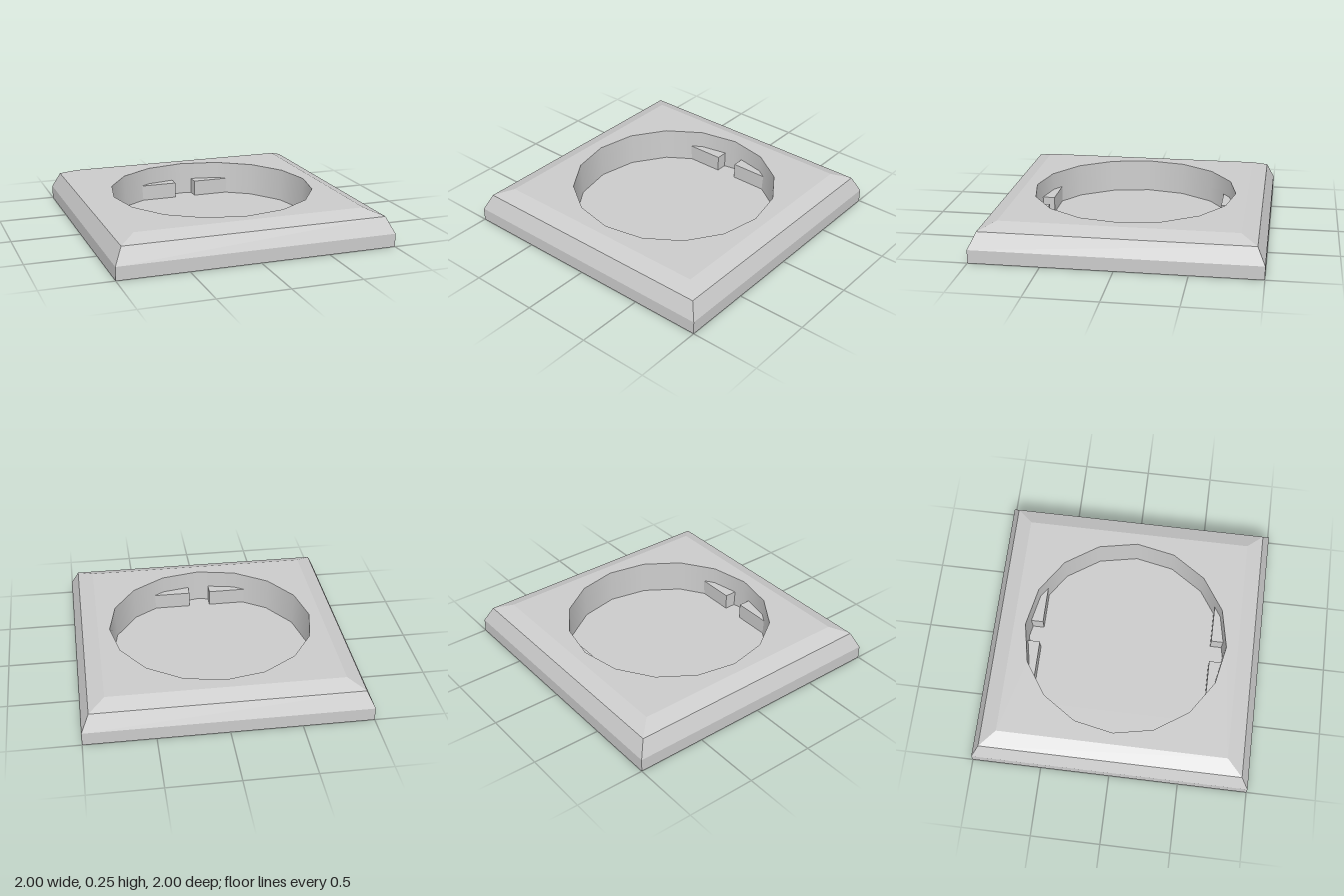
import * as THREE from 'three';

const flat = new THREE.MeshStandardMaterial({ color: 0xcccccc, flatShading: true, side: THREE.DoubleSide });
const smooth = new THREE.MeshStandardMaterial({ color: 0xcccccc, side: THREE.DoubleSide });

const TOP = 0.255, FLOOR = 0.013, RIM = 0.745, BASE = 0.735, SIDES = 16;

function part(name, geometry, material = flat) {
  const mesh = new THREE.Mesh(geometry, material);
  mesh.name = name;
  return mesh;
}

// One square, tapering band of the outer shell between two half widths
function band(r0, y0, r1, y1) {
  const g = new THREE.CylinderGeometry(r1 * Math.SQRT2, r0 * Math.SQRT2, y1 - y0, 4, 1, true);
  g.rotateY(Math.PI / 4);
  g.translate(0, (y0 + y1) / 2, 0);
  return g;
}

// Flat plate facing up at height y
function plate(shape, y) {
  return new THREE.ShapeGeometry(shape).rotateX(-Math.PI / 2).translate(0, y, 0);
}

function ring(radius) {
  return Array.from({ length: SIDES }, (_, i) => {
    const a = (i / SIDES) * Math.PI * 2;
    return new THREE.Vector2(Math.cos(a) * radius, Math.sin(a) * radius);
  });
}

// Corner clip: two upright panels under a triangular ledge, open below
function clip(sx, sz) {
  const group = new THREE.Group();
  group.name = 'cornerClip';
  const x0 = 0.08, x1 = 0.44, z0 = 0.635, z1 = 0.86, h = 0.13;
  const height = h - FLOOR, mid = (h + FLOOR) / 2;

  const face = part('clipFace', new THREE.PlaneGeometry(x1 - x0, height));
  face.position.set(sx * (x0 + x1) / 2, mid, sz * z0);

  const side = part('clipSide', new THREE.PlaneGeometry(z1 - z0, height).rotateY(Math.PI / 2));
  side.position.set(sx * x0, mid, sz * (z0 + z1) / 2);

  const corners = [[x0, z0], [x1, z0], [x0, z1]].map(([x, z]) => new THREE.Vector2(sx * x, -sz * z));
  group.add(face, side, part('clipLedge', plate(new THREE.Shape(corners), h)));
  return group;
}

export function createModel() {
  const model = new THREE.Group();
  model.name = 'recessedBase';

  // Outer shell: upright skirt and two bevels
  const profile = [[1, 0], [1, 0.095], [0.945, 0.21], [0.83, TOP]];
  ['skirt', 'lowerBevel', 'upperBevel'].forEach((name, i) => {
    model.add(part(name, band(...profile[i], ...profile[i + 1])));
  });

  // Top plate with the round opening
  const w = profile[3][0];
  const square = new THREE.Shape([[-w, -w], [w, -w], [w, w], [-w, w]].map(p => new THREE.Vector2(...p)));
  square.holes.push(new THREE.Path(ring(RIM).reverse()));
  model.add(part('topPlate', plate(square, TOP)));

  // Recess wall and floor
  const wall = new THREE.CylinderGeometry(RIM, BASE, TOP - FLOOR, SIDES, 1, true);
  wall.translate(0, (TOP + FLOOR) / 2, 0);
  model.add(part('recessWall', wall, smooth));
  model.add(part('recessFloor', plate(new THREE.Shape(ring(BASE)), FLOOR)));

  // Pairs of clips at the front and back of the recess
  for (const sx of [-1, 1]) for (const sz of [-1, 1]) model.add(clip(sx, sz));

  return model;
}
